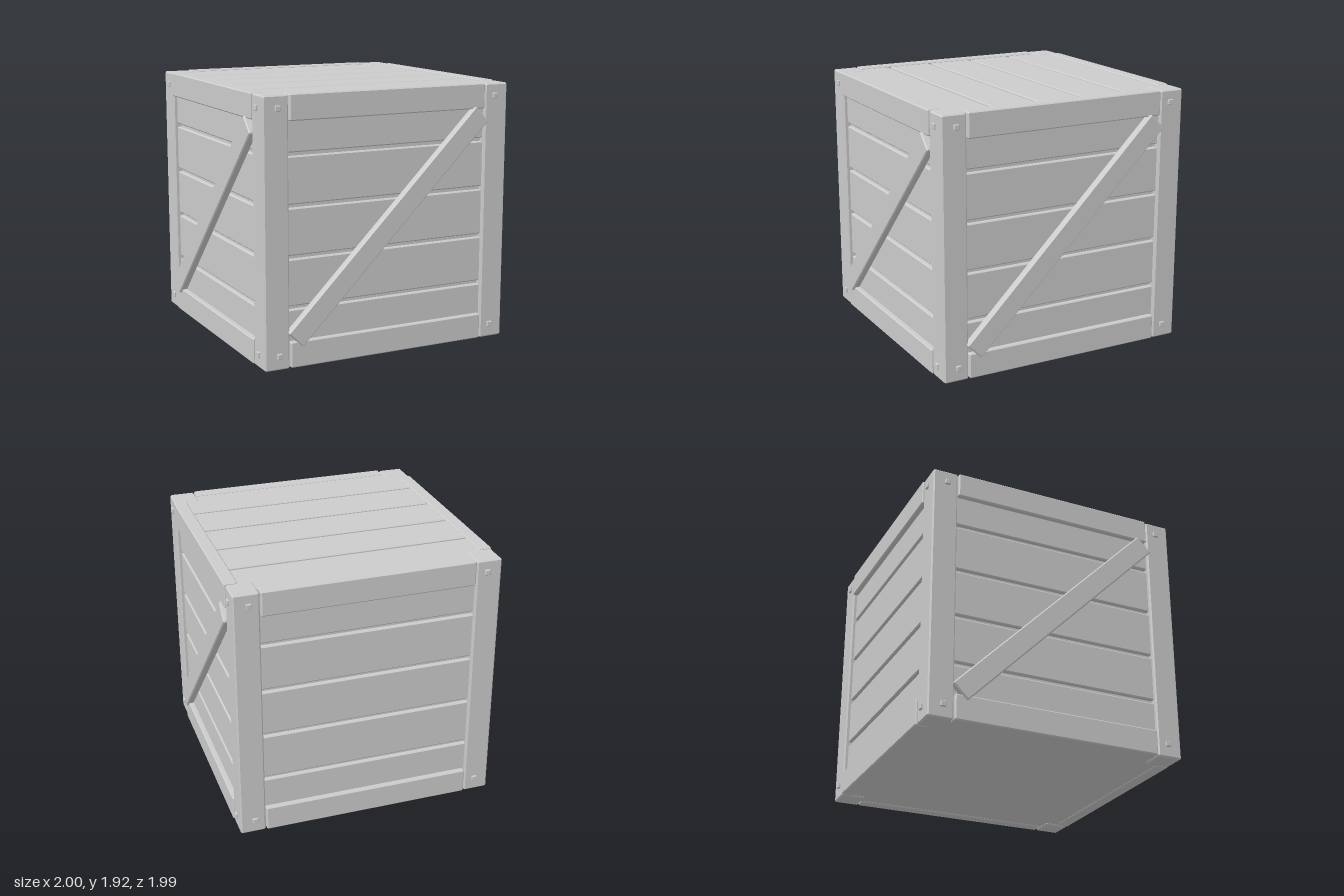
import * as THREE from 'three';
import { ConvexGeometry } from 'three/addons/geometries/ConvexGeometry.js';

const wood = new THREE.MeshStandardMaterial({ color: 0xcccccc });
wood.name = 'plain grey';

// Box with chamfered edges, centred on its origin
function chamferBox(w, h, d, c) {
  const points = [];
  for (const x of [-1, 1]) for (const y of [-1, 1]) for (const z of [-1, 1]) {
    const [a, b, e] = [w / 2, h / 2, d / 2];
    points.push(
      new THREE.Vector3(x * a, y * (b - c), z * (e - c)),
      new THREE.Vector3(x * (a - c), y * b, z * (e - c)),
      new THREE.Vector3(x * (a - c), y * (b - c), z * e));
  }
  return new ConvexGeometry(points);
}

// Chamfered board given by its minimum and maximum corners
function board(parent, name, min, max, chamfer = 0.008) {
  const size = max.map((v, i) => v - min[i]);
  const mesh = new THREE.Mesh(chamferBox(...size, chamfer), wood);
  mesh.position.set(...min.map((v, i) => (v + max[i]) / 2));
  mesh.name = name;
  parent.add(mesh);
  return mesh;
}

const PITCH = 0.36, GAP = 0.026;

// One wall, facing +z: planks, two rails, nails and perhaps a diagonal brace
function makeWall(name, braced) {
  const wall = new THREE.Group();
  wall.name = name;
  for (let i = 0; i < 5; i++) {
    const y0 = i === 0 ? 0.03 : 0.067 + i * PITCH + GAP / 2;
    const y1 = i === 4 ? 1.9 : 0.067 + (i + 1) * PITCH - GAP / 2;
    board(wall, 'wallPlank', [-0.85, y0, 0.88], [0.85, y1, 0.945]);
  }
  board(wall, 'bottomRail', [-0.78, 0.003, 0.885], [0.78, 0.19, 0.983]);
  board(wall, 'topRail', [-0.78, 1.74, 0.885], [0.78, 1.924, 0.983]);
  for (const x of [-0.867, 0.867]) for (const y of [0.1, 1.83]) {
    board(wall, 'nailHead', [x - 0.02, y - 0.02, 0.96], [x + 0.02, y + 0.02, 0.99], 0.004);
  }
  if (braced) {
    const brace = board(wall, 'diagonalBrace', [-1.06, 0.877, 0.94], [1.06, 1.033, 1.0]);
    brace.rotation.z = Math.PI / 4;
  }
  return wall;
}

export function createModel() {
  const crate = new THREE.Group();
  crate.name = 'crate';

  const body = new THREE.Group();
  body.name = 'crateBody';
  body.position.z = -0.006;
  crate.add(body);

  // Inner box seen in the grooves and underneath
  board(body, 'innerBox', [-0.915, 0.012, -0.915], [0.915, 1.885, 0.915], 0.004);

  // Four walls; the back one has no brace
  ['frontWall', 'rightWall', 'backWall', 'leftWall'].forEach((name, i) => {
    const wall = makeWall(name, i !== 2);
    wall.rotation.y = i * Math.PI / 2;
    body.add(wall);
  });

  // Square corner posts
  for (const x of [-1, 1]) for (const z of [-1, 1]) {
    board(body, 'cornerPost',
      [x > 0 ? 0.787 : -0.975, 0, z > 0 ? 0.787 : -0.975],
      [x > 0 ? 0.975 : -0.787, 1.92, z > 0 ? 0.975 : -0.787], 0.01);
  }

  // Lid planks running from side to side
  for (let i = 0; i < 5; i++) {
    const z0 = i === 0 ? -0.9 : -0.9 + i * PITCH + GAP / 2;
    const z1 = i === 4 ? 0.9 : -0.9 + (i + 1) * PITCH - GAP / 2;
    board(body, 'lidPlank', [-0.9, 1.86, z0], [0.9, 1.914, z1]);
  }
  return crate;
}
